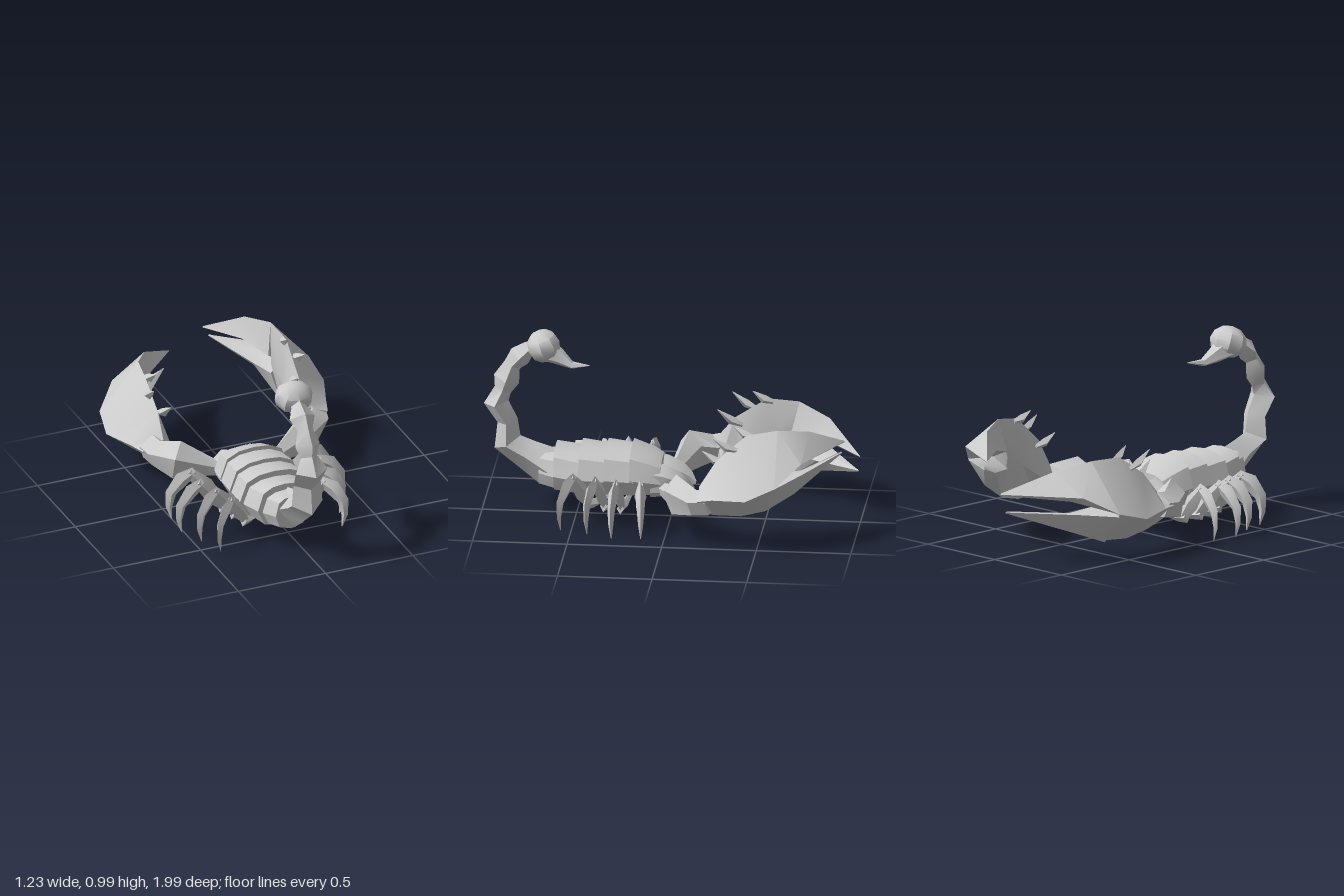
import * as THREE from 'three';
import { toCreasedNormals } from 'three/addons/utils/BufferGeometryUtils.js';

const MID = -0.06; // body axis
const V = (x, y, z) => new THREE.Vector3(x, y, z);
const material = new THREE.MeshStandardMaterial({ color: 0xcccccc });

// Skin a list of equal-sized rings, cap both ends, and face outwards
function loft(rings, crease = 0.5) {
  const tris = [], n = rings[0].length;
  for (let i = 0; i < rings.length - 1; i++) {
    for (let j = 0; j < n; j++) {
      const a = rings[i][j], b = rings[i][(j + 1) % n];
      const c = rings[i + 1][(j + 1) % n], d = rings[i + 1][j];
      tris.push([a, b, c], [a, c, d]);
    }
  }
  const last = rings[rings.length - 1];
  for (let j = 1; j < n - 1; j++) {
    tris.push([rings[0][0], rings[0][j + 1], rings[0][j]], [last[0], last[j], last[j + 1]]);
  }
  const volume = tris.reduce((s, [a, b, c]) => s + a.dot(b.clone().cross(c)), 0);
  const points = tris.flatMap(([a, b, c]) => (volume < 0 ? [a, c, b] : [a, b, c]));
  return toCreasedNormals(new THREE.BufferGeometry().setFromPoints(points), crease);
}

// Tapering limb through stations [x, y, z, halfWidth, halfHeight]
function limb(stations, sides = 4, sideAxis = null) {
  const p = stations.map((s) => V(s[0], s[1], s[2]));
  return loft(stations.map(([, , , w, h], i) => {
    const t = p[Math.min(i + 1, p.length - 1)].clone().sub(p[Math.max(i - 1, 0)]).normalize();
    const side = sideAxis ? sideAxis.clone() : V(0, 1, 0).cross(t).normalize();
    const up = t.clone().cross(side).normalize();
    return Array.from({ length: sides }, (_, j) => {
      const a = Math.PI / 2 + (j / sides) * Math.PI * 2;
      return p[i].clone().addScaledVector(side, Math.cos(a) * w).addScaledVector(up, Math.sin(a) * h);
    });
  }));
}

export function createModel() {
  const model = new THREE.Group();
  const add = (name, geometry, parent = model) => {
    const mesh = new THREE.Mesh(geometry, material);
    mesh.name = name;
    parent.add(mesh);
  };
  const addGroup = (name) => {
    const g = new THREE.Group();
    g.name = name;
    model.add(g);
    return g;
  };

  // Body: overlapping plates, each flared at its rear edge
  const half = [[0, 1], [0.45, 0.94], [0.8, 0.7], [1, -0.1], [0.75, -0.78], [0, -1]];
  const profile = [...half, ...half.slice(1, -1).reverse().map(([x, y]) => [-x, y])];
  const ring = ([z, w, bottom, top]) => profile.map(([x, y]) =>
    V(MID - 0.005 + x * w, (top + bottom) / 2 + (y * (top - bottom)) / 2, z));
  const plates = [
    [[0.05, 0.16, 0.12, 0.315], [0.1, 0.178, 0.115, 0.345], [0.21, 0.195, 0.11, 0.385]],
    [[0.19, 0.19, 0.11, 0.36], [0.345, 0.2, 0.11, 0.38]],
    [[0.33, 0.19, 0.11, 0.355], [0.48, 0.2, 0.11, 0.375]],
    [[0.46, 0.185, 0.11, 0.34], [0.615, 0.155, 0.12, 0.365]],
    [[0.58, 0.145, 0.12, 0.33], [0.7, 0.09, 0.14, 0.33]],
  ];
  const body = addGroup('body');
  plates.forEach((p, i) => add(`bodyPlate${i + 1}`, loft(p.map(ring)), body));

  // Tail: pinched, ridged segments that curl up, then a bulb and sting
  const tail = addGroup('tail');
  const tx = -0.05, xAxis = V(1, 0, 0);
  add('tailSegments', limb([
    [0.24, 0.65, 0.1, 0.11], [0.305, 0.77, 0.065, 0.085], [0.37, 0.87, 0.088, 0.078],
    [0.49, 0.87, 0.078, 0.055], [0.59, 0.93, 0.09, 0.066], [0.66, 0.895, 0.046, 0.046],
    [0.72, 0.875, 0.07, 0.07], [0.8, 0.845, 0.043, 0.045], [0.85, 0.805, 0.072, 0.06],
    [0.89, 0.76, 0.042, 0.042], [0.91, 0.7, 0.04, 0.04],
  ].map(([y, z, w, h]) => [tx, y, z, w, h]), 4, xAxis), tail);
  const bulb = new THREE.SphereGeometry(1, 8, 6);
  bulb.scale(0.108, 0.086, 0.09).rotateX(0.35).translate(tx + 0.005, 0.913, 0.68);
  add('tailBulb', toCreasedNormals(bulb, 0.7), tail);
  add('sting', limb([
    [tx, 0.89, 0.67, 0.085, 0.065], [tx + 0.01, 0.855, 0.595, 0.05, 0.045],
    [tx + 0.035, 0.82, 0.525, 0.026, 0.02], [tx + 0.06, 0.83, 0.43, 0.002, 0.002],
  ], 5, xAxis), tail);

  // Palm cross-sections: top, outer ridge, bottom, inner
  const palm = [
    [[0.41, 0.32, -0.19], [0.53, 0.275, -0.19], [0.43, 0.18, -0.18], [0.34, 0.24, -0.22]],
    [[0.4, 0.465, -0.28], [0.555, 0.295, -0.27], [0.43, 0.17, -0.28], [0.36, 0.28, -0.31]],
    [[0.4, 0.61, -0.44], [0.62, 0.315, -0.45], [0.42, 0.165, -0.41], [0.37, 0.36, -0.43]],
    [[0.38, 0.635, -0.6], [0.6, 0.385, -0.605], [0.41, 0.195, -0.54], [0.36, 0.42, -0.55]],
  ];
  const upperFinger = [
    [[0.38, 0.635, -0.6], [0.6, 0.385, -0.605], [0.48, 0.4, -0.58], [0.35, 0.46, -0.56]],
    [[0.3, 0.608, -0.76], [0.49, 0.49, -0.735], [0.38, 0.45, -0.72], [0.275, 0.5, -0.715]],
    [[0.135, 0.505, -0.925], [0.135, 0.5, -0.93], [0.13, 0.495, -0.93], [0.13, 0.5, -0.925]],
  ];
  const lowerFinger = [
    [[0.44, 0.42, -0.57], [0.6, 0.385, -0.605], [0.41, 0.195, -0.54], [0.36, 0.36, -0.55]],
    [[0.36, 0.41, -0.72], [0.47, 0.42, -0.73], [0.39, 0.29, -0.69], [0.31, 0.37, -0.69]],
    [[0.165, 0.455, -0.915], [0.165, 0.45, -0.92], [0.16, 0.445, -0.92], [0.16, 0.45, -0.915]],
  ];
  // Thorns on the palm: base, then tip
  const thorns = [
    [[0.39, 0.6, -0.47], [0.37, 0.645, -0.37]],
    [[0.42, 0.53, -0.39], [0.43, 0.595, -0.265]],
    [[0.38, 0.44, -0.32], [0.36, 0.5, -0.2]],
  ];

  for (const s of [1, -1]) {
    const label = s > 0 ? 'left' : 'right';
    // The right claw reaches further forward and hangs lower
    const place = ([x, y, z], drop = 0) => {
      if (s > 0) return V(x, y, z);
      const k = Math.max(0, (-z - 0.15) / 0.78);
      return V(-x + 0.1 * k ** 3, y - 0.14 * k ** 0.65 - drop * k * k, z - 0.065 * k ** 0.8);
    };
    const claw = addGroup(`${label}Claw`);
    const skin = (rows, drop) => loft(rows.map((r) => r.map((q) => place(q, drop))), 0.6);
    add(`${label}Palm`, skin(palm), claw);
    add(`${label}UpperFinger`, skin(upperFinger), claw);
    add(`${label}LowerFinger`, skin(lowerFinger, s < 0 ? 0.045 : 0), claw);
    thorns.forEach(([base, tip]) => {
      const a = place(base), b = place(tip), m = a.clone().lerp(b, 0.45);
      m.y -= 0.012;
      add(`${label}Thorn`, limb([
        [...a, 0.012, 0.012], [...m, 0.024, 0.024], [...b, 0.002, 0.002],
      ]), claw);
    });

    // Arm from the head to the wrist, swollen at the elbow
    const shift = s > 0 ? 0 : -0.04;
    add(`${label}Arm`, limb([
      [s * 0.05 + shift, 0.17, 0.04, 0.03, 0.035], [s * 0.17 + shift, 0.19, -0.005, 0.032, 0.05],
      [s * 0.345 + shift, 0.24, -0.07, 0.075, 0.115], [s * 0.44, 0.24, -0.18, 0.088, 0.07],
      [s * 0.455, 0.25, -0.25, 0.085, 0.07],
    ], 5));

    // Mouth part: one prong each side of a central notch
    add(`${label}MouthProng`, limb([
      [MID + s * 0.08, 0.21, 0.1, 0.085, 0.1], [MID + s * 0.08, 0.205, 0.04, 0.08, 0.09],
      [MID + s * 0.079, 0.185, -0.03, 0.064, 0.075], [MID + s * 0.07, 0.165, -0.085, 0.034, 0.045],
      [MID + s * 0.05, 0.155, -0.12, 0.006, 0.01],
    ], 6, xAxis));

    // Four legs: [hip z, foot z, reach]
    [[0.17, 0.12, 0.47], [0.23, 0.28, 0.48], [0.28, 0.42, 0.42], [0.33, 0.57, 0.37]].forEach(([z0, z1, reach], i) => {
      const side = V(s * (z1 - z0), 0, -reach).normalize();
      const at = (t, y, w, h) => [MID + s * t * reach, y, z0 + t * (z1 - z0), w, h];
      const leg = addGroup(`${label}Leg${i + 1}`);
      add('hip', limb([at(0, 0.085, 0.016, 0.016), at(0.3, 0.08, 0.024, 0.026),
        at(0.46, 0.09, 0.02, 0.03)], 4, side), leg);
      add('thigh', limb([at(0.38, 0.08, 0.015, 0.022), at(0.55, 0.175, 0.032, 0.048),
        at(0.74, 0.275, 0.014, 0.024)], 4, side), leg);
      add('shin', limb([at(0.67, 0.27, 0.012, 0.028), at(0.82, 0.235, 0.027, 0.046),
        at(0.95, 0.16, 0.02, 0.032), at(0.97, 0.08, 0.013, 0.018), at(0.94, 0.005, 0.002, 0.002)], 4, side), leg);
    });
  }
  return model;
}
